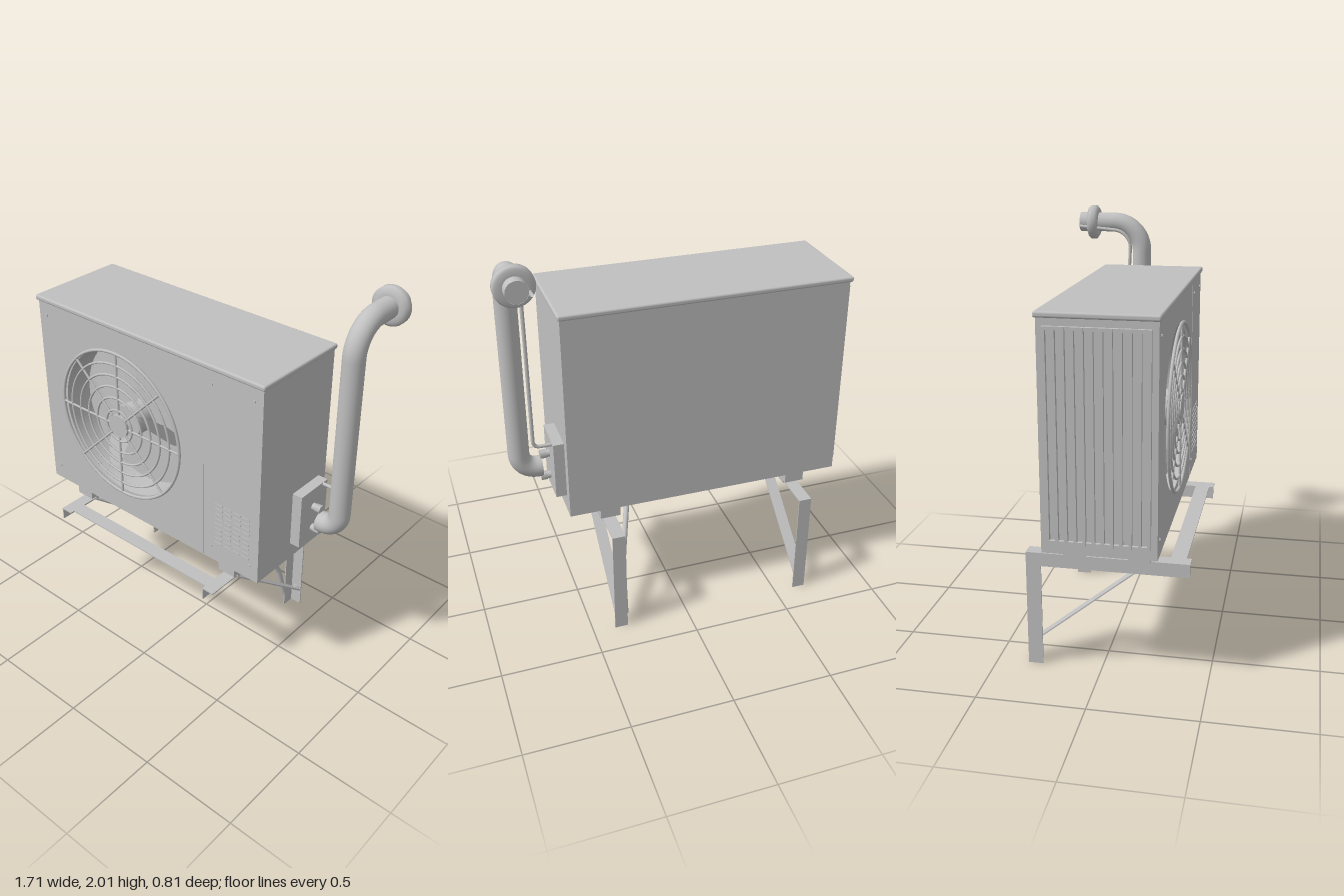
import * as THREE from 'three';
import { RoundedBoxGeometry } from 'three/addons/geometries/RoundedBoxGeometry.js';

const paint = new THREE.MeshStandardMaterial({ color: 0xc0c0c0, side: THREE.DoubleSide });
paint.name = 'light grey';

function add(parent, name, geometry, x = 0, y = 0, z = 0) {
  const mesh = new THREE.Mesh(geometry, paint);
  mesh.name = name;
  mesh.position.set(x, y, z);
  parent.add(mesh);
  return mesh;
}

// Box given by its limits
function box(parent, name, [x0, x1], [y0, y1], [z0, z1]) {
  return add(parent, name, new THREE.BoxGeometry(x1 - x0, y1 - y0, z1 - z0),
    (x0 + x1) / 2, (y0 + y1) / 2, (z0 + z1) / 2);
}

// Cylinder lying along x or z
function rod(parent, name, r, length, axis, x, y, z, sides = 24) {
  const g = new THREE.CylinderGeometry(r, r, length, sides);
  if (axis === 'x') g.rotateZ(Math.PI / 2); else g.rotateX(Math.PI / 2);
  return add(parent, name, g, x, y, z);
}

function group(parent, name) {
  const g = new THREE.Group();
  g.name = name;
  parent.add(g);
  return g;
}

// Tube through points with rounded corners
function pipe(parent, name, coords, bends, radius, sides = 20) {
  const p = coords.map(c => new THREE.Vector3(...c));
  const path = new THREE.CurvePath();
  let from = p[0];
  for (let i = 1; i < p.length - 1; i++) {
    const toPrev = p[i - 1].clone().sub(p[i]).normalize();
    const toNext = p[i + 1].clone().sub(p[i]).normalize();
    const at = (dir, d) => p[i].clone().addScaledVector(dir, d);
    const b = bends[i - 1], a = at(toPrev, b), e = at(toNext, b);
    path.add(new THREE.LineCurve3(from, a));
    path.add(new THREE.CubicBezierCurve3(a, at(toPrev, b * 0.45), at(toNext, b * 0.45), e));
    from = e;
  }
  path.add(new THREE.LineCurve3(from, p[p.length - 1]));
  return add(parent, name, new THREE.TubeGeometry(path, 110, radius, sides));
}

function buildCabinet(root) {
  const cabinet = group(root, 'cabinet');
  box(cabinet, 'cabinetBody', [-0.84, 0.56], [0.65, 1.69], [-0.225, 0.135]);
  // Front half with the round fan opening
  const face = new THREE.Shape();
  face.moveTo(-0.84, 0.65).lineTo(0.56, 0.65).lineTo(0.56, 1.69).lineTo(-0.84, 1.69).closePath();
  const hole = new THREE.Path();
  hole.absarc(-0.3, 1.18, 0.385, 0, Math.PI * 2, true);
  face.holes.push(hole);
  add(cabinet, 'frontPanel',
    new THREE.ExtrudeGeometry(face, { depth: 0.15, bevelEnabled: false, curveSegments: 64 }), 0, 0, 0.135);
  add(cabinet, 'lid', new RoundedBoxGeometry(1.425, 0.027, 0.53, 3, 0.01), -0.1425, 1.696, 0.03);
  box(cabinet, 'panelSeam', [0.222, 0.226], [0.655, 1.682], [0.284, 0.287]);
  for (const x of [-0.79, 0.275, 0.51]) for (const y of [0.73, 1.615])
    rod(cabinet, 'screw', 0.008, 0.006, 'z', x, y, 0.287, 12);
  // Small ventilation slots
  for (let row = 0; row < 9; row++) for (let col = 0; col < 4; col++)
    box(cabinet, 'ventSlot', [0.3 + col * 0.054, 0.343 + col * 0.054],
      [0.76 + row * 0.028, 0.768 + row * 0.028], [0.284, 0.288]);
  // Side coil guard with upright fins
  for (const y of [0.7, 1.635]) box(cabinet, 'finFrame', [-0.855, -0.84], [y, y + 0.015], [-0.195, 0.255]);
  for (let i = 0; i < 12; i++) {
    const z = -0.19 + i * 0.04;
    box(cabinet, 'sideFin', [-0.858, -0.84], [0.7, 1.65], [z - 0.007, z + 0.007]);
  }
}

function buildFan(root) {
  const fan = group(root, 'fan');
  fan.position.set(-0.3, 1.18, 0);
  rod(fan, 'fanHub', 0.085, 0.1, 'z', 0, 0, 0.2, 32);
  // Pitched blades
  const outline = new THREE.Shape();
  outline.moveTo(0.06, -0.05);
  outline.lineTo(0.2, -0.095);
  outline.lineTo(0.32, -0.075);
  outline.quadraticCurveTo(0.385, -0.02, 0.35, 0.045);
  outline.lineTo(0.27, 0.09);
  outline.lineTo(0.17, 0.075);
  outline.lineTo(0.06, 0.05);
  const blade = new THREE.ShapeGeometry(outline);
  const pos = blade.attributes.position;
  for (let i = 0; i < pos.count; i++) pos.setZ(i, 0.21 + 0.6 * pos.getY(i));
  blade.computeVertexNormals();
  for (let i = 0; i < 3; i++) add(fan, 'fanBlade', blade).rotation.z = i * Math.PI * 2 / 3;
  // Wire guard
  for (const r of [0.085, 0.15, 0.21, 0.27, 0.33])
    add(fan, 'guardRing', new THREE.TorusGeometry(r, 0.006, 8, 64), 0, 0, 0.303);
  add(fan, 'guardRim', new THREE.TorusGeometry(0.392, 0.008, 8, 80), 0, 0, 0.302);
  for (let i = 0; i < 8; i++) {
    const spoke = add(fan, 'guardSpoke',
      new THREE.CylinderGeometry(0.006, 0.006, 0.33, 8).translate(0, 0.227, 0), 0, 0, 0.303);
    spoke.rotation.z = i * Math.PI / 4;
  }
  rod(fan, 'guardBadge', 0.06, 0.014, 'z', 0, 0, 0.304, 40);
}

function buildPipes(root) {
  const pipes = group(root, 'pipes');
  box(pipes, 'valvePlate', [0.56, 0.612], [0.74, 1.03], [-0.17, 0.035]);
  for (const y of [0.808, 0.93]) {
    rod(pipes, 'valveStub', 0.018, 0.05, 'x', 0.63, y, -0.065);
    rod(pipes, 'valveNut', 0.022, 0.03, 'x', 0.645, y, -0.065, 6);
  }
  pipe(pipes, 'mainPipe',
    [[0.655, 0.867, -0.065], [0.76, 0.867, -0.065], [0.76, 1.915, -0.065], [0.76, 1.915, -0.405]],
    [0.085, 0.15], 0.051, 32);
  rod(pipes, 'pipeEnd', 0.05, 0.004, 'x', 0.656, 0.867, -0.065, 32);
  rod(pipes, 'pipeEnd', 0.05, 0.004, 'z', 0.76, 1.915, -0.403, 32);
  // Wall collar
  const profile = [[0.05, -0.028], [0.08, -0.028], [0.091, -0.016], [0.091, 0.012], [0.072, 0.026], [0.05, 0.026]];
  const collar = new THREE.LatheGeometry(profile.map(p => new THREE.Vector2(...p)), 40).rotateX(Math.PI / 2);
  add(pipes, 'wallCollar', collar, 0.76, 1.915, -0.329);
  // Signal cable running beside the pipe
  pipe(pipes, 'cable',
    [[0.6, 1.02, -0.138], [0.7, 1.02, -0.138], [0.7, 1.6, -0.128], [0.7, 1.87, -0.115], [0.7, 1.895, -0.4]],
    [0.03, 0.04, 0.09], 0.009, 10);
  pipe(pipes, 'drainHose',
    [[0.21, 0.63, 0.005], [0.21, 0.54, 0.005], [0.305, 0.31, -0.225], [0.318, 0.04, -0.3]],
    [0.04, 0.07], 0.014, 14);
}

function buildBracket(root, x) {
  const bracket = group(root, 'wallBracket');
  const wide = [x - 0.033, x + 0.033], edge = [x - 0.033, x - 0.027];
  // Angle-iron upright and arm
  box(bracket, 'uprightBack', wide, [0, 0.565], [-0.35, -0.344]);
  box(bracket, 'uprightFlange', edge, [0, 0.56], [-0.345, -0.28]);
  box(bracket, 'armTop', wide, [0.559, 0.565], [-0.35, 0.405]);
  box(bracket, 'armFlange', edge, [0.5, 0.56], [-0.345, 0.405]);
  // Flat diagonal brace
  const dy = 0.465, dz = 0.57;
  const brace = add(bracket, 'brace', new THREE.BoxGeometry(0.058, 0.006, Math.hypot(dy, dz)), x + 0.003, 0.327, -0.057);
  brace.rotation.x = -Math.atan2(dy, dz);
  for (const y of [0.1, 0.445]) {
    rod(bracket, 'anchorWasher', 0.02, 0.006, 'z', x, y, -0.341);
    rod(bracket, 'anchorBolt', 0.012, 0.016, 'z', x, y, -0.334, 6);
  }
  // Rail and rubber pads under the cabinet
  box(bracket, 'footRail', [x - 0.05, x + 0.05], [0.588, 0.65], [-0.205, 0.265]);
  for (const z of [-0.12, 0.18]) box(bracket, 'rubberPad', [x - 0.045, x + 0.045], [0.565, 0.588], [z - 0.05, z + 0.05]);
  rod(bracket, 'railBolt', 0.012, 0.03, 'z', x, 0.577, 0.005, 12);
}

export function createModel() {
  const root = new THREE.Group();
  root.name = 'outdoorUnit';
  buildCabinet(root);
  buildFan(root);
  buildPipes(root);
  for (const x of [-0.635, 0.355]) buildBracket(root, x);
  box(root, 'crossBar', [-0.602, 0.322], [0.559, 0.565], [0.31, 0.382]);
  return root;
}
